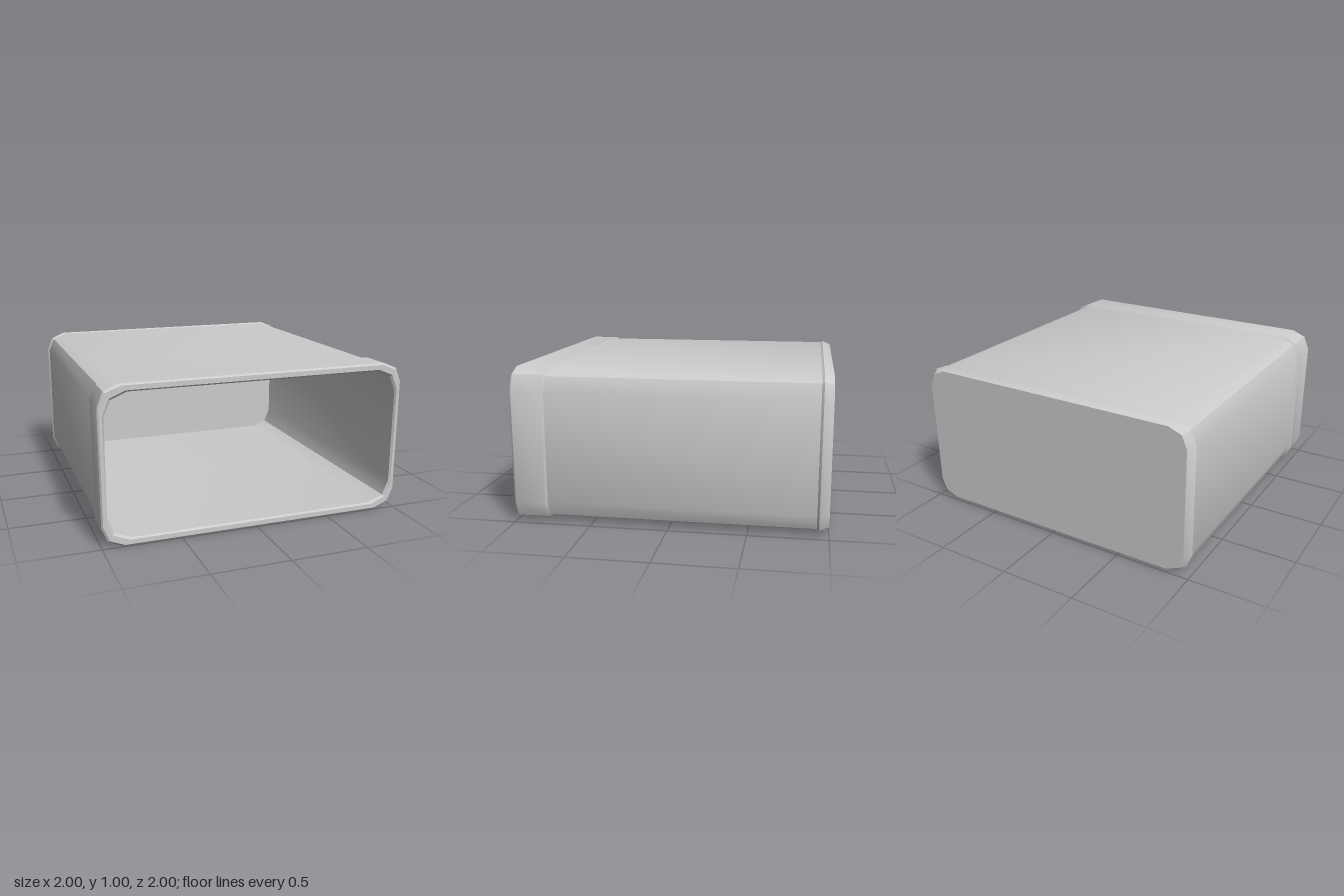
import * as THREE from 'three';
import { toCreasedNormals } from 'three/addons/utils/BufferGeometryUtils.js';

const material = new THREE.MeshStandardMaterial({ color: 0xcccccc });
const CENTER_Y = 0.5;

// Rounded rectangle with two-segment corners, counter-clockwise seen from +z
function section([z, halfW, halfH, r]) {
  const points = [];
  for (let corner = 0; corner < 4; corner++) {
    const sx = corner === 0 || corner === 3 ? 1 : -1;
    const sy = corner < 2 ? 1 : -1;
    for (let k = 0; k <= 2; k++) {
      const a = (corner + k / 2) * Math.PI / 2;
      points.push(new THREE.Vector3(
        sx * (halfW - r) + r * Math.cos(a),
        CENTER_Y + sy * (halfH - r) + r * Math.sin(a), z));
    }
  }
  return points;
}

// Skin a row of sections; a section of zero size closes the end
function loft(name, sections) {
  const rings = sections.map(section);
  const positions = [];
  const triangle = (a, b, c) => {
    if (a.equals(b) || b.equals(c) || a.equals(c)) return;
    for (const p of [a, b, c]) positions.push(p.x, p.y, p.z);
  };
  for (let i = 0; i < rings.length - 1; i++) {
    const n = rings[i].length;
    for (let j = 0; j < n; j++) {
      const k = (j + 1) % n;
      triangle(rings[i][j], rings[i][k], rings[i + 1][k]);
      triangle(rings[i][j], rings[i + 1][k], rings[i + 1][j]);
    }
  }
  const geometry = new THREE.BufferGeometry();
  geometry.setAttribute('position', new THREE.Float32BufferAttribute(positions, 3));
  const mesh = new THREE.Mesh(toCreasedNormals(geometry, 0.52), material);
  mesh.name = name;
  return mesh;
}

export function createModel() {
  const group = new THREE.Group();
  group.name = 'openSleeveBox';

  // Sections are [z, half width, half height, corner radius]
  const bodyBack = [-0.925, 0.985, 0.49, 0.13];
  const bodyFront = [0.78, 0.985, 0.49, 0.13];
  const rimOuter = [1, 0.99, 0.49, 0.13];
  const rimInner = [1, 0.972, 0.46, 0.14];

  // Closed back with its chamfered band
  group.add(loft('backCap', [
    [-1, 0, 0, 0], [-1, 0.965, 0.477, 0.12], [-0.94, 0.995, 0.497, 0.13], bodyBack,
  ]));
  // Straight outer walls
  group.add(loft('outerWalls', [bodyBack, bodyFront]));
  // Raised collar around the opening
  group.add(loft('frontCollar', [
    bodyFront, [0.792, 1, 0.5, 0.13], [0.988, 1, 0.5, 0.13], rimOuter,
  ]));
  // Flat rim
  group.add(loft('frontRim', [rimOuter, rimInner]));
  // Bevelled mouth, inner walls and inside of the back
  group.add(loft('cavity', [
    rimInner, [0.988, 0.962, 0.45, 0.14], [-0.95, 0.962, 0.45, 0.14], [-0.95, 0, 0, 0],
  ]));
  return group;
}
